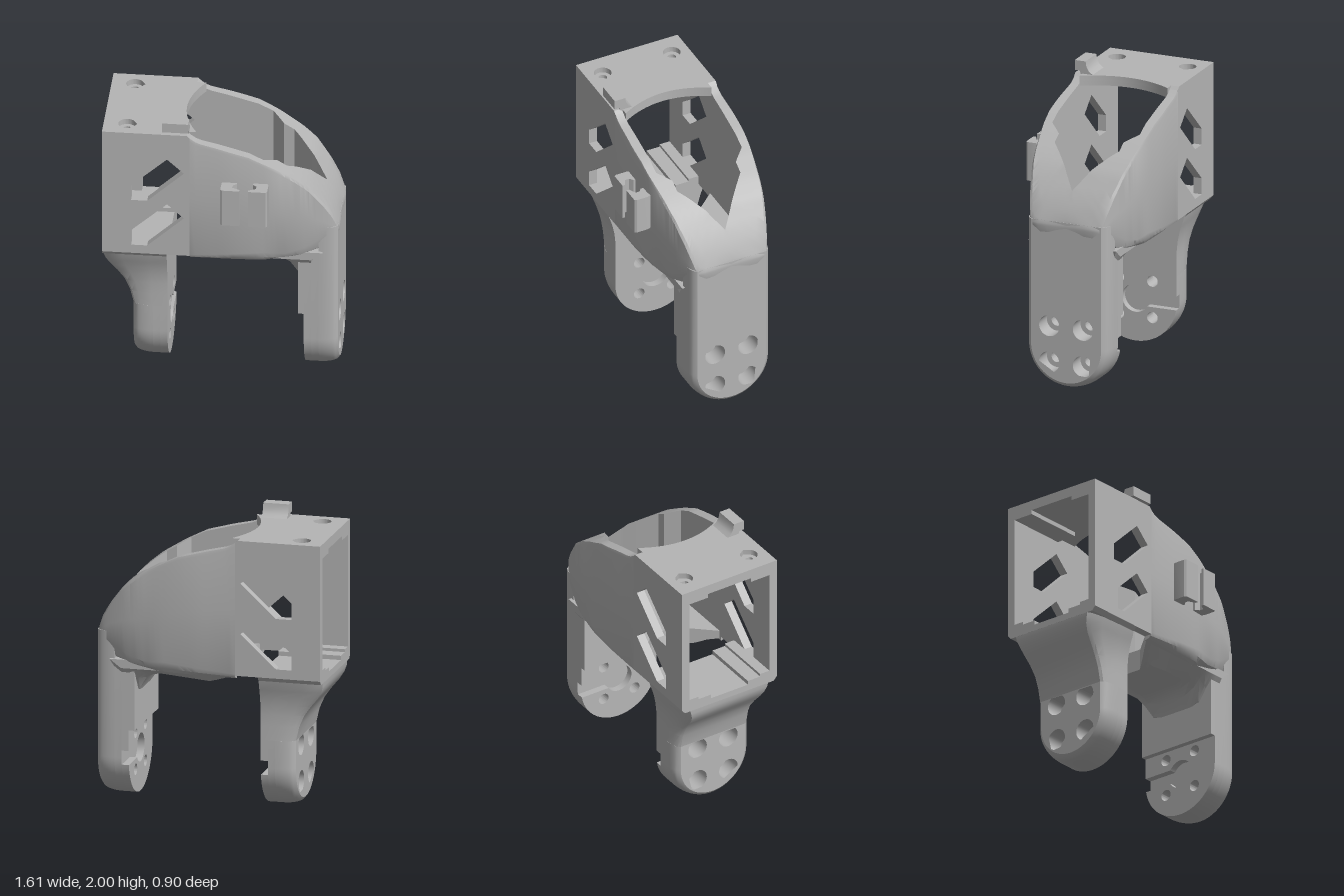
import * as THREE from 'three';
import { toCreasedNormals } from 'three/addons/utils/BufferGeometryUtils.js';

const grey = new THREE.MeshStandardMaterial({ color: 0xb5b5b5 });
grey.name = 'grey plastic';
const { lerp, clamp } = THREE.MathUtils;

// Piecewise linear lookup in [x, y] pairs
function at(table, x) {
  let i = 0;
  while (i < table.length - 2 && x > table[i + 1][0]) i++;
  const [a, b] = [table[i], table[i + 1]];
  return lerp(a[1], b[1], clamp((x - a[0]) / (b[0] - a[0]), 0, 1));
}

function shapeOf(points) {
  return new THREE.Shape(points.map(([x, y]) => new THREE.Vector2(x, y)));
}
function circle(x, y, r) {
  return new THREE.Path().absarc(x, y, r, 0, Math.PI * 2, true);
}
function extrude(shape, depth, steps = 1) {
  return new THREE.ExtrudeGeometry(shape, { depth, steps, bevelEnabled: false, curveSegments: 20 });
}
// Shape drawn in (-z, y), pushed along x
const alongX = (shape, x0, x1, steps) => extrude(shape, x1 - x0, steps).rotateY(Math.PI / 2).translate(x0, 0, 0);
// Shape drawn in (x, -z), pushed along y
const alongY = (shape, y0, y1) => extrude(shape, y1 - y0).rotateX(-Math.PI / 2).translate(0, y0, 0);

// Closed skin through equal-length sections, with end caps, turned outward by its volume
function loft(sections) {
  const n = sections[0].length, pos = sections.flat(2), idx = [];
  for (let i = 0; i < sections.length - 1; i++) {
    for (let j = 0; j < n; j++) {
      const a = i * n + j, b = i * n + (j + 1) % n;
      idx.push(a, b, a + n, b, b + n, a + n);
    }
  }
  const last = (sections.length - 1) * n;
  for (let j = 1; j < n - 1; j++) idx.push(0, j + 1, j, last, last + j, last + j + 1);
  const p = (k) => new THREE.Vector3().fromArray(pos, idx[k] * 3);
  let volume = 0;
  for (let k = 0; k < idx.length; k += 3) volume += p(k).dot(p(k + 1).cross(p(k + 2)));
  if (volume < 0) idx.reverse();
  const g = new THREE.BufferGeometry();
  g.setAttribute('position', new THREE.Float32BufferAttribute(pos, 3));
  g.setIndex(idx);
  return g;
}

const R = 0.305; // half width of the legs

// Round-ended leg outline with four screw holes; keyhole cuts a horn recess open to the back
function legShape(top, holeR, keyhole) {
  const s = new THREE.Shape();
  s.moveTo(-R, top);
  s.lineTo(-R, R);
  if (keyhole) {
    s.absarc(0, R, R, Math.PI, Math.PI * 2 - Math.asin(0.05 / R), false);
    s.absarc(0, R, 0.1, -Math.PI / 6, Math.PI / 6, true);
    s.lineTo(R, R + 0.05);
  } else s.absarc(0, R, R, Math.PI, Math.PI * 2, false);
  s.lineTo(R, top);
  for (const u of [-0.125, 0.125]) for (const y of [0.18, 0.44]) s.holes.push(circle(u, y, holeR));
  return s;
}

// Outer leg layer whose rim rounds off from x0 towards x1
function roundedLayer(top, x0, x1) {
  const g = alongX(legShape(top, 0.075), Math.min(x0, x1), Math.max(x0, x1), 7);
  const p = g.attributes.position;
  for (let i = 0; i < p.count; i++) {
    const y = p.getY(i), z = p.getZ(i), dy = Math.min(0, y - R);
    if (Math.hypot(z, dy) < 0.29) continue;
    const t = clamp((p.getX(i) - x0) / (x1 - x0), 0, 1);
    const k = 1 - 0.045 / R * (1 - Math.sqrt(1 - t * t));
    p.setZ(i, z * k);
    if (dy < 0) p.setY(i, R + dy * k);
  }
  return g;
}

// Height of the sloping hood and of the lower edge of the shell
const hoodTop = [[-0.2, 1.89], [-0.15, 1.855], [0, 1.82], [0.2, 1.765], [0.35, 1.69], [0.5, 1.6],
  [0.6, 1.52], [0.7, 1.39], [0.76, 1.29], [0.8, 1.19]];
const shellBottom = [[-0.2, 0.97], [0.3, 1.02], [0.45, 1.01], [0.58, 1.05], [0.7, 1.12], [0.8, 1.15]];

// Curved shell round the pointed opening
function shellGeometry() {
  const outer = [[-0.2, 0.387], [-0.05, 0.392], [0.1, 0.396], [0.3, 0.387], [0.45, 0.368], [0.58, 0.345],
    [0.7, 0.31], [0.77, 0.28], [0.8, 0.25], [0.8, 0]];
  const inner = [[-0.2, 0.325], [-0.05, 0.325], [0.1, 0.325], [0.3, 0.325], [0.38, 0.24], [0.45, 0.24],
    [0.57, 0.125], [0.63, 0.07], [0.68, 0.02], [0.7, 0]];
  const curve = new THREE.CatmullRomCurve3(outer.map(([x, h]) => new THREE.Vector3(x, 0, h)));
  const section = (t, s) => {
    const o = curve.getPoint(t), f = t * 9, i = Math.min(8, Math.floor(f));
    const ix = lerp(inner[i][0], inner[i + 1][0], f - i), ih = lerp(inner[i][1], inner[i + 1][1], f - i);
    const P = (k, y) => [lerp(ix, o.x, k), y, s * lerp(ih, o.z, k)];
    const roof = (k) => P(k, at(hoodTop, lerp(ix, o.x, k)));
    const low = at(shellBottom, o.x), high = at(hoodTop, o.x) - 0.02;
    return [P(0, 0.93), P(0.5, lerp(0.93, low, 0.15)), P(0.85, lerp(0.93, low, 0.5)), P(1, low),
      P(1, lerp(low, high, 0.5)), P(1, high), roof(0.93), roof(0.7), roof(0.45), roof(0.2), roof(0)];
  };
  const N = 36, sections = [];
  for (let i = 0; i <= N; i++) sections.push(section(i / N, 1));
  for (let i = N - 1; i >= 0; i--) sections.push(section(i / N, -1));
  return loft(sections);
}

// Floor with a notched leading edge and an underside that sweeps down into the leg
function floorGeometry() {
  const under = [[-0.2, 0.925], [0, 0.865], [0.02, 0.858], [0.4, 0.89], [0.47, 0.86], [0.51, 0.8], [0.535, 0.74], [0.62, 0.74]];
  const sections = [-0.325, -0.26, -0.2, -0.1, 0, 0.1, 0.2, 0.26, 0.325].map((z) => {
    const w = Math.abs(z), start = 0.02 - Math.max(0, w - 0.1) * 0.9;
    const pts = [[0.7, 1, z], [start, 1, z]];
    for (let k = 0; k <= 14; k++) {
      const x = lerp(start, 0.62, k / 14);
      pts.push([x, lerp(at(under, x), 0.94, clamp((w - 0.2) / 0.125, 0, 1)), z]);
    }
    return pts;
  });
  return loft(sections);
}

// Flare joining the straight leg to the box
function flareGeometry() {
  const reach = [[0.5, -0.596], [0.6, -0.62], [0.68, -0.655], [0.75, -0.705], [0.81, -0.755], [0.86, -0.785], [0.9, -0.797], [0.95, -0.8]];
  return loft(reach.map(([y, x]) => {
    const h = lerp(R, 0.365, clamp((y - 0.65) / 0.28, 0, 1) ** 2);
    const half = [[-0.36, h], [-0.47, h], [lerp(-0.47, x, 0.6), h - 0.009], [lerp(-0.47, x, 0.9), h - 0.027], [x, h - 0.045]];
    return [...half, ...half.slice().reverse().map(([a, b]) => [a, -b])].map(([a, b]) => [a, y, b]);
  }));
}

// Top plate with a concave edge and teardrop or round screw holes
function topPlate(y0, y1, r, teardrop) {
  const s = new THREE.Shape();
  s.moveTo(-0.8, -0.326);
  s.lineTo(-0.16, -0.326);
  s.quadraticCurveTo(-0.355, 0, -0.16, 0.326);
  s.lineTo(-0.8, 0.326);
  for (const v of [-0.262, 0.262]) {
    const hole = new THREE.Path();
    hole.absarc(-0.64, v, r, Math.PI / 4, Math.PI * 1.75, false);
    if (teardrop) hole.lineTo(-0.57, v);
    s.holes.push(hole);
  }
  return alongY(s, y0, y1);
}

// Side wall with two slanted slots
function wallGeometry() {
  const s = shapeOf([[-0.8, 0.96], [-0.2, 0.96], [-0.2, 1.89], [-0.22, 1.91], [-0.8, 1.91]]);
  for (const dy of [0, -0.355]) {
    s.holes.push(shapeOf([[-0.6, 1.38], [-0.6, 1.495], [-0.355, 1.715], [-0.24, 1.61], [-0.49, 1.38]].map(([x, y]) => [x, y + dy])));
  }
  return extrude(s, 0.06);
}

export function createModel() {
  const model = new THREE.Group();
  model.name = 'bracket';
  const body = new THREE.Group();
  body.name = 'bracketBody';
  body.position.z = -0.055;
  model.add(body);
  const add = (name, g) => {
    const mesh = new THREE.Mesh(toCreasedNormals(g, 0.5), grey);
    mesh.name = name;
    body.add(mesh);
    return mesh;
  };

  // Open-ended box
  add('frontWall', wallGeometry().translate(0, 0, 0.325));
  add('backWall', wallGeometry().translate(0, 0, -0.385));
  add('topPlateUpper', topPlate(1.87, 1.91, 0.06, true));
  add('topPlateLower', topPlate(1.84, 1.87, 0.03, false));
  for (const s of [-1, 1]) add('ceilingRail', new THREE.BoxGeometry(0.46, 0.03, 0.15).translate(-0.57, 1.825, s * 0.25));
  const half = [[0.36, 0.93], [0.385, 0.96], [0.325, 0.96], [0.325, 1.025], [0.25, 1.025], [0.25, 1.005], [0.15, 1.005], [0.15, 0.975]];
  add('steppedBoxFloor', alongX(shapeOf([...half, ...half.slice().reverse().map(([u, y]) => [-u, y])]), -0.8, -0.36));

  // Curved hood and floor
  add('hoodShell', shellGeometry());
  add('hoodFloor', floorGeometry());
  add('floorPad', alongY(shapeOf([[0.02, -0.1], [0.1, -0.1], [0.21, 0], [0.1, 0.1], [0.02, 0.1]]), 0.999, 1.008));

  // Leg under the hood
  add('hoodLegInner', alongX(legShape(1, 0.04, true), 0.57, 0.62));
  add('hoodLegMiddle', alongX(legShape(1, 0.04), 0.62, 0.67));
  add('hoodLegOuter', roundedLayer(1.19, 0.67, 0.8));
  add('hoodLegStep', new THREE.BoxGeometry(0.04, 0.5, R * 2).translate(0.55, 0.75, 0));

  // Leg under the box
  add('boxLegInner', alongX(legShape(0.5, 0.04, true), -0.41, -0.36));
  add('boxLegMiddle', alongX(legShape(0.5, 0.04), -0.46, -0.41));
  add('boxLegOuter', roundedLayer(0.5, -0.46, -0.596));
  add('boxLegFlare', flareGeometry());

  // Cable clip jaws on the front wall
  const jaw = [[0.03, 0.38], [0.125, 0.38], [0.125, 0.41], [0.1, 0.43], [0.1, 0.46], [0.15, 0.485], [0.15, 0.505], [0.03, 0.505], [0.02, 0.49], [0.02, 0.41]];
  add('leftClipJaw', alongY(shapeOf(jaw.map(([x, z]) => [x, -z]).reverse()), 1.29, 1.565));
  add('rightClipJaw', alongY(shapeOf(jaw.map(([x, z]) => [0.36 - x, -z])), 1.29, 1.565));

  // Hooked tab on the top edge
  const tab = [[0.385, 2], [0.305, 2], [0.298, 1.96], [0.28, 1.93], [0.245, 1.905], [0.34, 1.905], [0.35, 1.93], [0.385, 1.93]];
  add('topTab', alongX(shapeOf(tab.map(([z, y]) => [-z, y])), -0.39, -0.21));

  return model;
}
